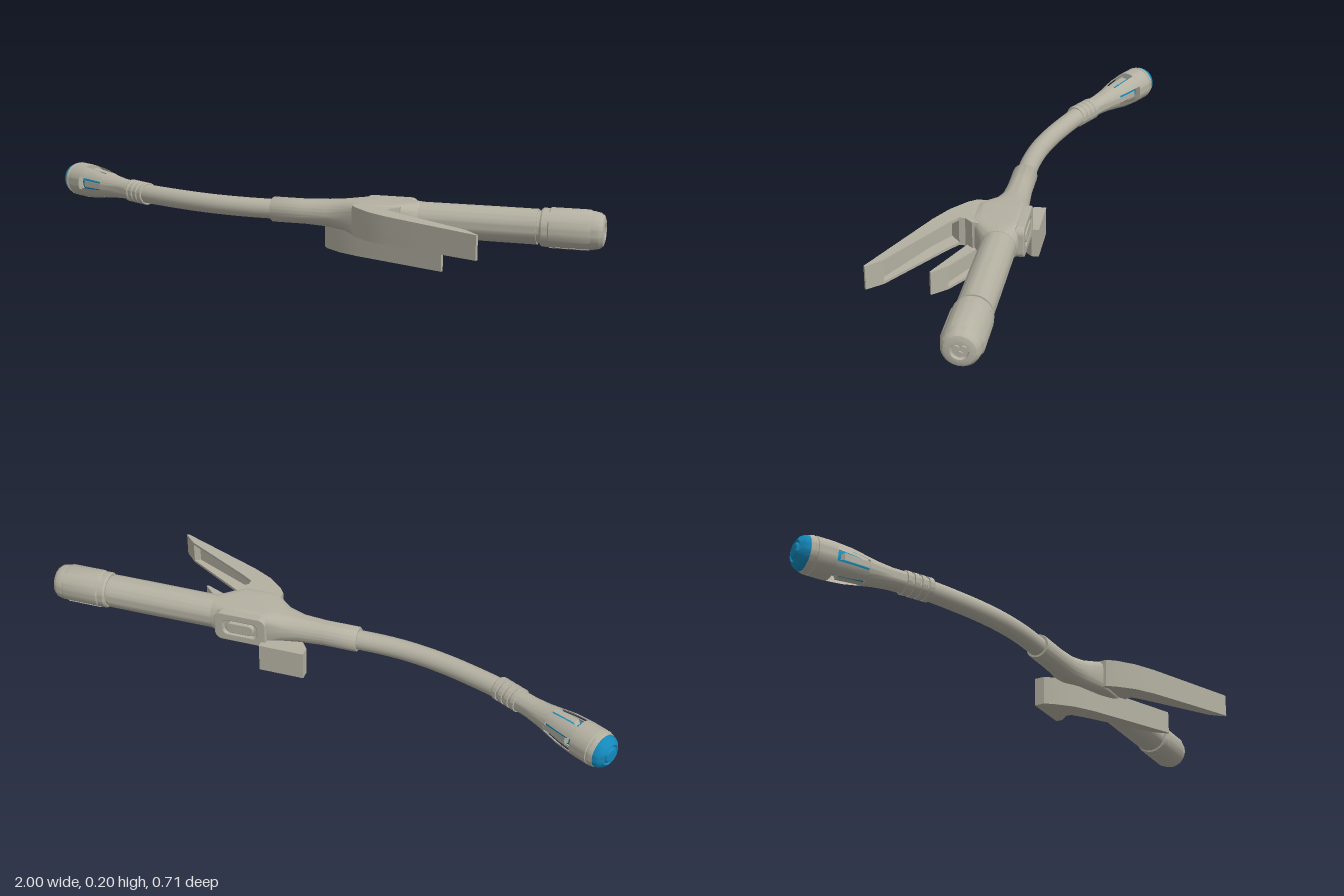
import * as THREE from 'three';
import { toCreasedNormals } from 'three/addons/utils/BufferGeometryUtils.js';

const shellGrey = new THREE.MeshStandardMaterial({ color: 0xb4b1a2, side: THREE.DoubleSide });
shellGrey.name = 'warm grey';
const blue = new THREE.MeshStandardMaterial({ color: 0x1489bb, side: THREE.DoubleSide });
blue.name = 'blue';

const AXIS_Y = 0.131, AXIS_Z = -0.003;

function add(parent, name, geometry, material = shellGrey) {
  const mesh = new THREE.Mesh(geometry, material);
  mesh.name = name;
  parent.add(mesh);
  return mesh;
}

// Turned part: profile is a list of [distance along axis, radius]
function turned(profile, start = 0, length = Math.PI * 2) {
  const points = profile.map(([s, r]) => new THREE.Vector2(r, s));
  const segments = Math.max(6, Math.round(length * 7));
  return toCreasedNormals(new THREE.LatheGeometry(points, segments, start, length), 0.5);
}

// Superellipse sections joined along x: [x, centre z, half z, centre y, half y, exponent]
function loft(sections, n = 48) {
  const pos = [], idx = [];
  for (const [x, cz, hz, cy, hy, e] of sections) {
    for (let i = 0; i < n; i++) {
      const a = (i / n) * Math.PI * 2, c = Math.cos(a), s = Math.sin(a);
      pos.push(x, cy + hy * Math.sign(c) * Math.abs(c) ** (2 / e), cz + hz * Math.sign(s) * Math.abs(s) ** (2 / e));
    }
  }
  for (let k = 0; k < sections.length - 1; k++) {
    for (let i = 0; i < n; i++) {
      const a = k * n + i, b = k * n + (i + 1) % n;
      idx.push(a, b, a + n, b, b + n, a + n);
    }
  }
  const last = (sections.length - 1) * n;
  for (let i = 1; i < n - 1; i++) {
    idx.push(0, i + 1, i, last, last + i, last + i + 1);
  }
  const g = new THREE.BufferGeometry();
  g.setAttribute('position', new THREE.Float32BufferAttribute(pos, 3));
  g.setIndex(idx);
  return toCreasedNormals(g, 0.6);
}

// Plan outline in x and z, raised from y0 to y1, getting lower towards the free end
function planSolid(outline, y0, y1) {
  const shape = new THREE.Shape(outline.map(([x, z]) => new THREE.Vector2(x, z)));
  const g = new THREE.ExtrudeGeometry(shape, { depth: y1 - y0, bevelEnabled: false });
  g.rotateX(Math.PI / 2).translate(0, y1, 0);
  const p = g.attributes.position;
  for (let i = 0; i < p.count; i++) {
    const t = THREE.MathUtils.clamp((p.getZ(i) - 0.13) / 0.22, 0, 1);
    p.setY(i, p.getY(i) * (1 - 0.2 * t));
  }
  return toCreasedNormals(g, 0.6);
}

function roundedRect(w, h, r, Type = THREE.Shape) {
  const s = new Type();
  s.absarc(w / 2 - r, h / 2 - r, r, 0, Math.PI / 2);
  s.absarc(r - w / 2, h / 2 - r, r, Math.PI / 2, Math.PI);
  s.absarc(r - w / 2, r - h / 2, r, Math.PI, Math.PI * 1.5);
  s.absarc(w / 2 - r, r - h / 2, r, Math.PI * 1.5, Math.PI * 2);
  s.closePath();
  return s;
}

// Channel-shaped lever with a solid hub and tip
function makeLever(name) {
  const lever = new THREE.Group();
  lever.name = name;
  const outer = [[0.205, 0.065], [0.205, 0.1], [0.225, 0.127], [0.28, 0.175], [0.35, 0.215],
    [0.5, 0.283], [0.66, 0.355], [0.665, 0.35], [0.62, 0.305]];
  const hub = [[0.335, 0.135], [0.335, 0.115], [0.36, 0.088], [0.36, 0.065]];
  const h = 0.049, t = 0.01;
  const flange = [...outer, [0.38, 0.165], ...hub];
  const core = [...outer, [0.6, 0.315], [0.38, 0.213], [0.3, 0.165], ...hub];
  add(lever, 'leverWall', planSolid(core, t - h, h - t));
  add(lever, 'leverTopFlange', planSolid(flange, h - t, h));
  add(lever, 'leverBottomFlange', planSolid(flange, -h, t - h));
  return lever;
}

// Flared head with four windows, a blue core and a blue domed end
function makeHead() {
  const head = new THREE.Group();
  head.name = 'head';
  head.position.set(-0.62, AXIS_Y, -0.12);
  head.rotation.set(0, -0.497, Math.PI / 2);
  const collar = [[-0.03, 0.033], [-0.03, 0.037]];
  for (let i = 0; i < 4; i++) {
    const s = -0.03 + i * 0.025;
    collar.push([s + 0.003, 0.039], [s + 0.018, 0.039], [s + 0.019, 0.035], [s + 0.024, 0.035]);
  }
  add(head, 'neckRings', turned(collar));
  add(head, 'headBase', turned([[0.06, 0.034], [0.11, 0.035], [0.16, 0.04], [0.195, 0.046], [0.195, 0.036]]));
  add(head, 'headRim', turned([[0.305, 0.036], [0.305, 0.0595], [0.32, 0.06], [0.365, 0.06], [0.367, 0.057],
    [0.373, 0.057], [0.375, 0.06], [0.388, 0.056], [0.39, 0.052]]));
  add(head, 'innerCore', turned([[0.19, 0.037], [0.31, 0.039]]), blue);
  const half = 0.39;
  for (let i = 0; i < 4; i++) {
    const a = i * Math.PI / 2;
    const rib = [[0.195, 0.046], [0.25, 0.0555], [0.305, 0.0595], [0.305, 0.05], [0.25, 0.046], [0.195, 0.038]];
    add(head, 'windowRib', turned(rib, a + half, Math.PI / 2 - 2 * half));
    add(head, 'windowTongue', turned([[0.195, 0.037], [0.195, 0.045], [0.28, 0.051], [0.288, 0.038]], a - 0.24, 0.48));
  }
  add(head, 'domedEnd', turned([[0.386, 0.055], [0.398, 0.053], [0.408, 0.047], [0.417, 0.034], [0.414, 0.03],
    [0.414, 0.026], [0.421, 0.022], [0.424, 0.01], [0.424, 0]]), blue);
  return head;
}

// Straight grip with a panelled end knob
function makeHandle() {
  const handle = new THREE.Group();
  handle.name = 'handle';
  handle.position.set(0, AXIS_Y, AXIS_Z);
  handle.rotation.z = -Math.PI / 2;
  add(handle, 'grip', turned([[0.36, 0.056], [0.66, 0.057], [0.79, 0.057], [0.79, 0.052], [0.81, 0.052]]));
  add(handle, 'endKnob', turned([[0.8, 0.05], [0.8, 0.058], [0.806, 0.062], [0.965, 0.061], [0.985, 0.057],
    [0.996, 0.048], [1, 0.036], [1, 0.027], [0.99, 0.024], [0.99, 0]]));
  for (let i = 0; i < 4; i++) {
    const a = i * Math.PI / 2;
    add(handle, 'knobPanel', turned([[0.825, 0.061], [0.83, 0.065], [0.95, 0.065], [0.962, 0.06]], a - 0.5, 1));
  }
  for (let i = 0; i < 3; i++) {
    const lobe = add(handle, 'knobLobe', new THREE.CylinderGeometry(0.009, 0.009, 0.012, 16));
    const a = i * Math.PI * 2 / 3;
    lobe.position.set(0.012 * Math.cos(a), 0.99, 0.012 * Math.sin(a));
  }
  return handle;
}

export function createModel() {
  const model = new THREE.Group();
  model.name = 'handheldInstrument';

  // Curved shaft
  const path = new THREE.CatmullRomCurve3([[-0.08, -0.004], [-0.2, -0.007], [-0.3, -0.019], [-0.4, -0.042],
    [-0.5, -0.074], [-0.6, -0.112], [-0.66, -0.141], [-0.71, -0.168]].map(([x, z]) => new THREE.Vector3(x, AXIS_Y, z)));
  add(model, 'shaft', new THREE.TubeGeometry(path, 60, 0.033, 32));

  // Sleeve flaring into the boxy lever housing
  add(model, 'housing', loft([
    [-0.097, AXIS_Z, 0.04, AXIS_Y, 0.04, 2],
    [-0.093, AXIS_Z, 0.042, AXIS_Y, 0.042, 2],
    [0.02, AXIS_Z, 0.042, AXIS_Y, 0.042, 2],
    [0.1, AXIS_Z, 0.048, AXIS_Y, 0.046, 2],
    [0.16, 0.002, 0.06, AXIS_Y, 0.051, 2.5],
    [0.2, 0.012, 0.077, 0.13, 0.056, 4],
    [0.23, 0.017, 0.083, 0.129, 0.058, 7],
    [0.33, 0.016, 0.082, 0.129, 0.058, 7],
    [0.37, 0.006, 0.07, 0.13, 0.058, 4],
    [0.41, AXIS_Z, 0.057, AXIS_Y, 0.057, 2],
  ]));

  // Framed button on the back of the housing
  const frame = roundedRect(0.175, 0.1, 0.022);
  frame.holes.push(roundedRect(0.125, 0.06, 0.02, THREE.Path));
  const bevel = { bevelEnabled: true, bevelSize: 0.003, bevelThickness: 0.003, bevelSegments: 2, curveSegments: 8 };
  add(model, 'buttonFrame', new THREE.ExtrudeGeometry(frame, { depth: 0.022, ...bevel })).position.set(0.295, 0.132, -0.076);
  add(model, 'button', new THREE.ExtrudeGeometry(roundedRect(0.09, 0.034, 0.015), { depth: 0.02, ...bevel }))
    .position.set(0.295, 0.132, -0.077);

  // Main lever and the lower lever beneath it
  const mainLever = makeLever('mainLever');
  mainLever.position.y = 0.134;
  const lowerLever = makeLever('lowerLever');
  lowerLever.position.set(-0.14, 0.049, -0.165);

  model.add(mainLever, lowerLever, makeHandle(), makeHead());
  return model;
}
